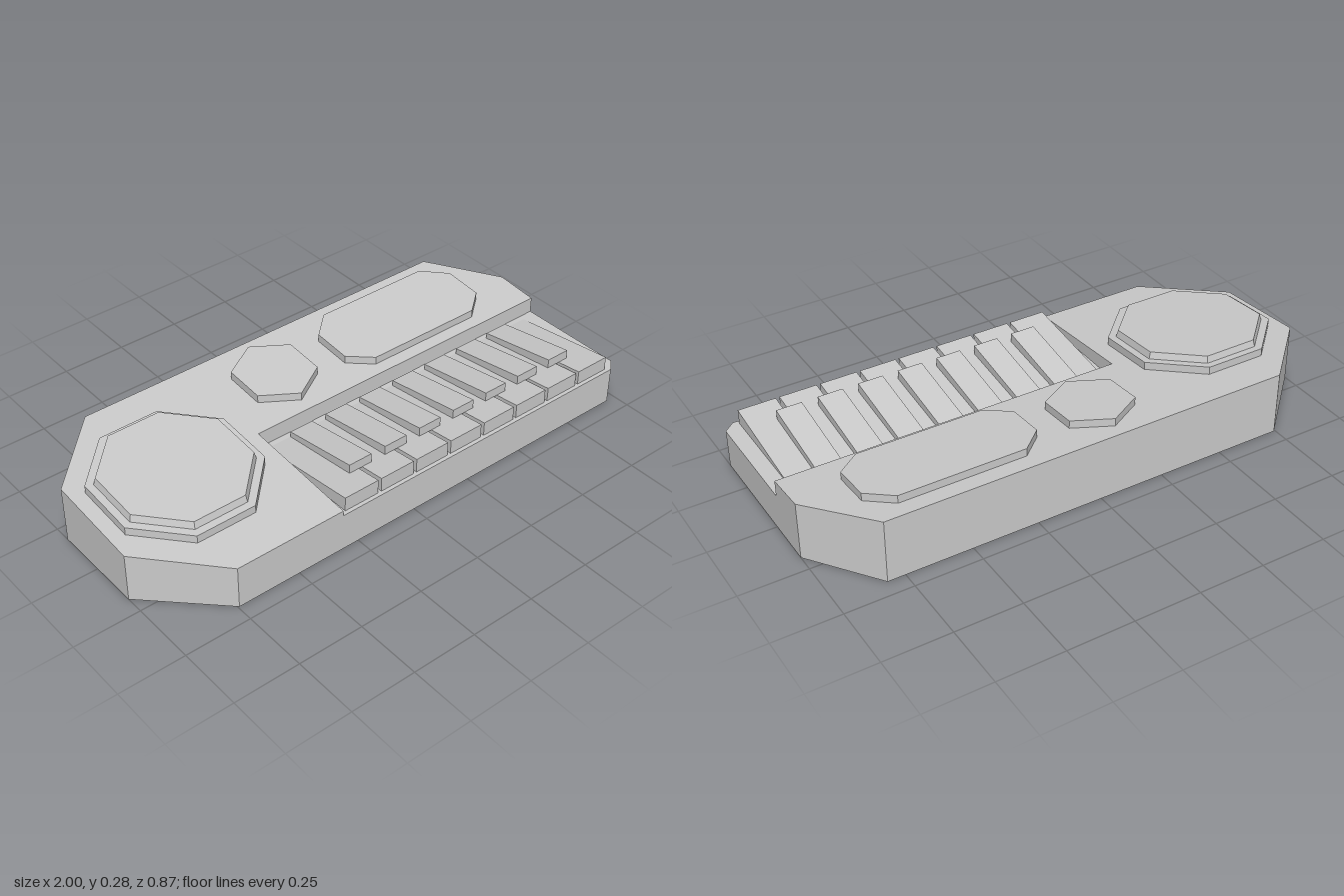
import * as THREE from 'three';

const material = new THREE.MeshStandardMaterial({ color: 0xcccccc, flatShading: true });

// Height of the sloping top deck at depth z
const deck = (z) => 0.204 - 0.0885 * z;

function outline(points) {
  return new THREE.Shape(points.map(([x, z]) => new THREE.Vector2(x, -z)));
}

function addMesh(parent, name, geometry) {
  geometry.computeVertexNormals();
  const mesh = new THREE.Mesh(geometry, material);
  mesh.name = name;
  parent.add(mesh);
  return mesh;
}

// Upright prism over a plan outline; the rule gives each vertex its final height
function prism(points, rule) {
  const g = new THREE.ExtrudeGeometry(outline(points), { depth: 1, bevelEnabled: false });
  g.rotateX(-Math.PI / 2);
  const p = g.attributes.position;
  for (let i = 0; i < p.count; i++) p.setY(i, rule(p.getY(i) > 0.5, p.getZ(i)));
  return g;
}

// Plate lying on the sloping deck, between two offsets above it
const plate = (points, low, high) => prism(points, (top, z) => deck(z) + (top ? high : low));

function polygon(sides, radius, cx, cz, turn) {
  return Array.from({ length: sides }, (_, i) => {
    const a = turn - (i / sides) * Math.PI * 2;
    return [cx + radius * Math.cos(a), cz + radius * Math.sin(a)];
  });
}

// Key: side profile of [z, y] points swept across a width
function key(profile, cx, width) {
  const shape = new THREE.Shape(profile.map(([z, y]) => new THREE.Vector2(z, y)));
  const g = new THREE.ExtrudeGeometry(shape, { depth: width, bevelEnabled: false });
  g.rotateY(-Math.PI / 2);
  g.translate(cx + width / 2, 0, 0);
  return g;
}

export function createModel() {
  const model = new THREE.Group();
  model.name = 'toyKeyboard';

  // Body with a sloping deck, stepping down to a tray at the front
  const body = new THREE.Group();
  body.name = 'body';
  model.add(body);
  const floor = 0.145;
  addMesh(body, 'deckBody', prism([
    [-0.745, 0.435], [-0.315, 0.435], [-0.315, -0.022], [1, -0.022],
    [1, -0.185], [0.815, -0.437], [-0.745, -0.437], [-1, -0.185], [-1, 0.183],
  ], (top, z) => (top ? deck(z) : 0)));
  addMesh(body, 'keyTray', prism([
    [-0.315, 0.435], [0.96, 0.435], [1, 0.4], [1, -0.022], [-0.315, -0.022],
  ], (top) => (top ? floor : 0)));

  // Speaker: octagonal rim with a slightly tapered cover
  const speaker = new THREE.Group();
  speaker.name = 'speaker';
  model.add(speaker);
  const cx = -0.665, cz = -0.008, eighth = Math.PI / 8;
  addMesh(speaker, 'speakerRim', plate(polygon(8, 0.303, cx, cz, eighth), -0.01, 0.03));
  const cover = plate(polygon(8, 0.274, cx, cz, eighth), 0.028, 0.056);
  const p = cover.attributes.position;
  for (let i = 0; i < p.count; i++) {
    if (p.getY(i) - deck(p.getZ(i)) < 0.04) continue;
    const z = cz + (p.getZ(i) - cz) * 0.972;
    p.setXYZ(i, cx + (p.getX(i) - cx) * 0.972, deck(z) + 0.056, z);
  }
  addMesh(speaker, 'speakerCover', cover);

  // Hexagonal button and long chamfered panel
  addMesh(model, 'hexagonButton', plate(polygon(6, 0.155, -0.085, -0.228, Math.PI / 2), -0.01, 0.03));
  addMesh(model, 'displayPanel', plate([
    [0.255, -0.07], [0.73, -0.07], [0.818, -0.14], [0.818, -0.29],
    [0.73, -0.37], [0.255, -0.37], [0.167, -0.29], [0.167, -0.14],
  ], -0.01, 0.03));

  // Eight wedge-shaped long keys, and seven short keys over the gaps
  const keys = new THREE.Group();
  keys.name = 'keys';
  model.add(keys);
  const pitch = 0.1563, start = -0.302;
  const longProfile = [[0, floor], [0.42, floor], [0.42, 0.2]];
  const shortProfile = [[0, floor], [0.32, 0.186], [0.32, 0.222], [0, 0.167]];
  for (let i = 0; i < 8; i++) {
    addMesh(keys, 'longKey', key(longProfile, start + pitch * (i + 0.5), pitch - 0.014));
    if (i < 7) addMesh(keys, 'shortKey', key(shortProfile, start + pitch * (i + 1), 0.096));
  }
  return model;
}
